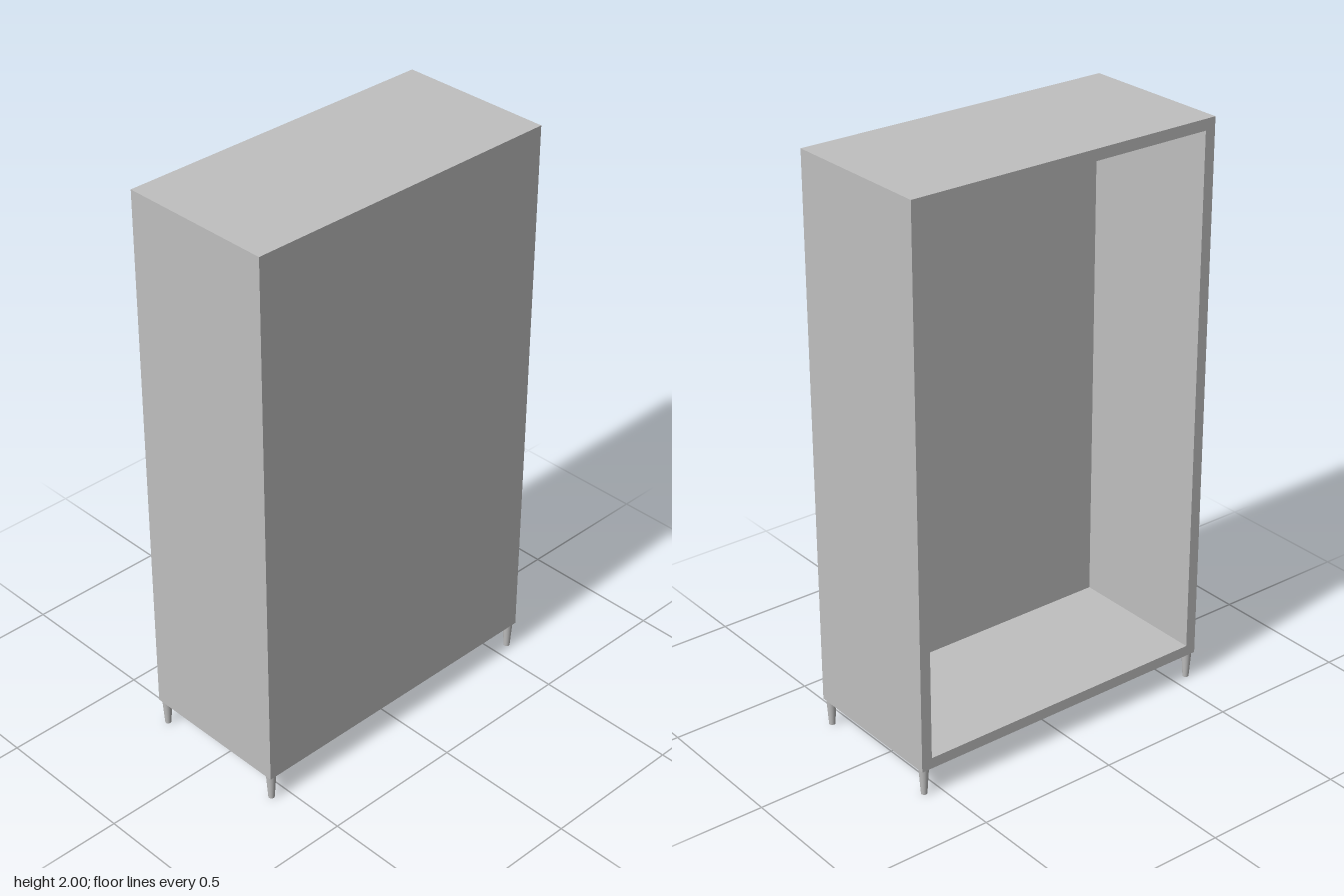
import * as THREE from 'three';

const W = 1.15, D = 0.545, TOP = 2, BASE = 0.095, T = 0.038;

export function createModel() {
  const group = new THREE.Group();
  const grey = new THREE.MeshStandardMaterial({ color: 0xbfbfbf });
  grey.name = 'light grey';

  function add(name, geometry, x, y, z) {
    const mesh = new THREE.Mesh(geometry, grey);
    mesh.name = name;
    mesh.position.set(x, y, z);
    group.add(mesh);
  }

  // Frame around the open back: one rectangle with a rectangular hole
  const H = TOP - BASE;
  const frame = new THREE.Shape();
  frame.moveTo(-W / 2, 0).lineTo(W / 2, 0).lineTo(W / 2, H).lineTo(-W / 2, H).closePath();
  const hole = new THREE.Path();
  hole.moveTo(-W / 2 + T, T).lineTo(-W / 2 + T, H - T).lineTo(W / 2 - T, H - T).lineTo(W / 2 - T, T).closePath();
  frame.holes.push(hole);
  const frameGeometry = new THREE.ExtrudeGeometry(frame, { depth: D - T, bevelEnabled: false });
  add('cabinetFrame', frameGeometry, 0, BASE, -D / 2);

  // Closed front panel
  add('frontPanel', new THREE.BoxGeometry(W, H, T), 0, BASE + H / 2, D / 2 - T / 2);

  // Four slim tapered legs
  const legGeometry = new THREE.CylinderGeometry(0.017, 0.0105, BASE, 16);
  for (const x of [-1, 1]) {
    for (const z of [-1, 1]) {
      const name = (z > 0 ? 'front' : 'back') + (x > 0 ? 'Left' : 'Right') + 'Leg';
      add(name, legGeometry, x * 0.556, BASE / 2, z * 0.254);
    }
  }
  return group;
}
